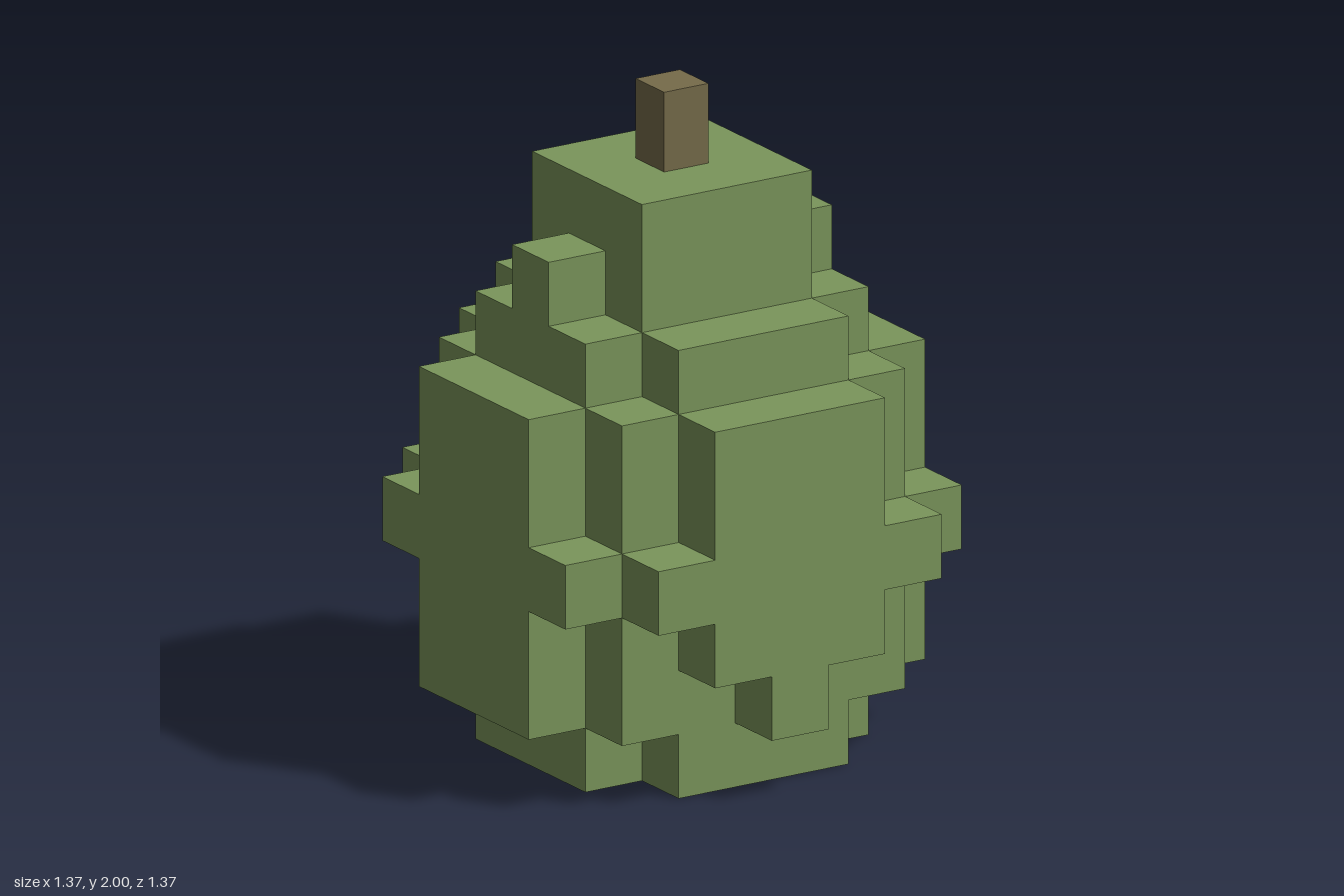
import * as THREE from 'three';

const U = 0.1952; // one block

export function createModel() {
  const model = new THREE.Group();
  model.name = 'blockyPear';
  const skin = new THREE.MeshStandardMaterial({ color: 0x7b965b });
  skin.name = 'pear green';
  const bark = new THREE.MeshStandardMaterial({ color: 0x766c4a });
  bark.name = 'stem brown';

  const add = (name, geometry, material = skin) => {
    const mesh = new THREE.Mesh(geometry, material);
    mesh.name = name;
    model.add(mesh);
    return mesh;
  };

  // Box centred on x and z, sized in blocks, from height y0 to y1
  const block = (name, w, d, y0, y1, x = 0, material = skin) =>
    add(name, new THREE.BoxGeometry(w * U, (y1 - y0) * U, d * U), material)
      .position.set(x * U, (y0 + y1) / 2 * U, 0);

  // Mirrored outline, given as its right half from bottom to top
  const outline = (half) => {
    const left = half.map(([x, y]) => [-x, y]).reverse();
    return new THREE.Shape([...half, ...left].map(([x, y]) => new THREE.Vector2(x * U, y * U)));
  };
  const slab = (half) => new THREE.ExtrudeGeometry(outline(half), { depth: U, bevelEnabled: false });

  // Main body and neck
  block('body', 5, 5, 1, 6);
  block('neck', 3, 3, 7, 9);

  // Layers with the corners cut out, below and above the body
  const cross = [[1.5, -2.5], [1.5, -1.5], [2.5, -1.5], [2.5, 1.5], [1.5, 1.5], [1.5, 2.5]];
  for (const [name, y] of [['base', 0], ['shoulder', 6]]) {
    const mesh = add(name, slab(cross).rotateX(-Math.PI / 2));
    mesh.position.y = y * U;
  }

  // Raised panels on the four sides, each with a wide band at mid height
  const band = [[1.5, 3], [2.5, 3], [2.5, 4], [1.5, 4], [1.5, 6]];
  const stepped = [[0.5, 1], [0.5, 2], [1.5, 2], ...band];
  const straight = [[1.5, 1], ...band];
  const panels = [
    ['frontPanel', stepped], ['leftPanel', straight],
    ['backPanel', stepped], ['rightPanel', straight],
  ];
  panels.forEach(([name, half], i) => {
    add(name, slab(half).translate(0, 0, 2.5 * U).rotateY(i * Math.PI / 2));
  });

  // Small bumps beside the neck
  block('leftBump', 1, 1, 7, 8, 2);
  block('rightBump', 1, 1, 7, 8, -2);

  // Stem
  block('stem', 0.78, 0.78, 9, 2 / U, 0, bark);

  return model;
}
